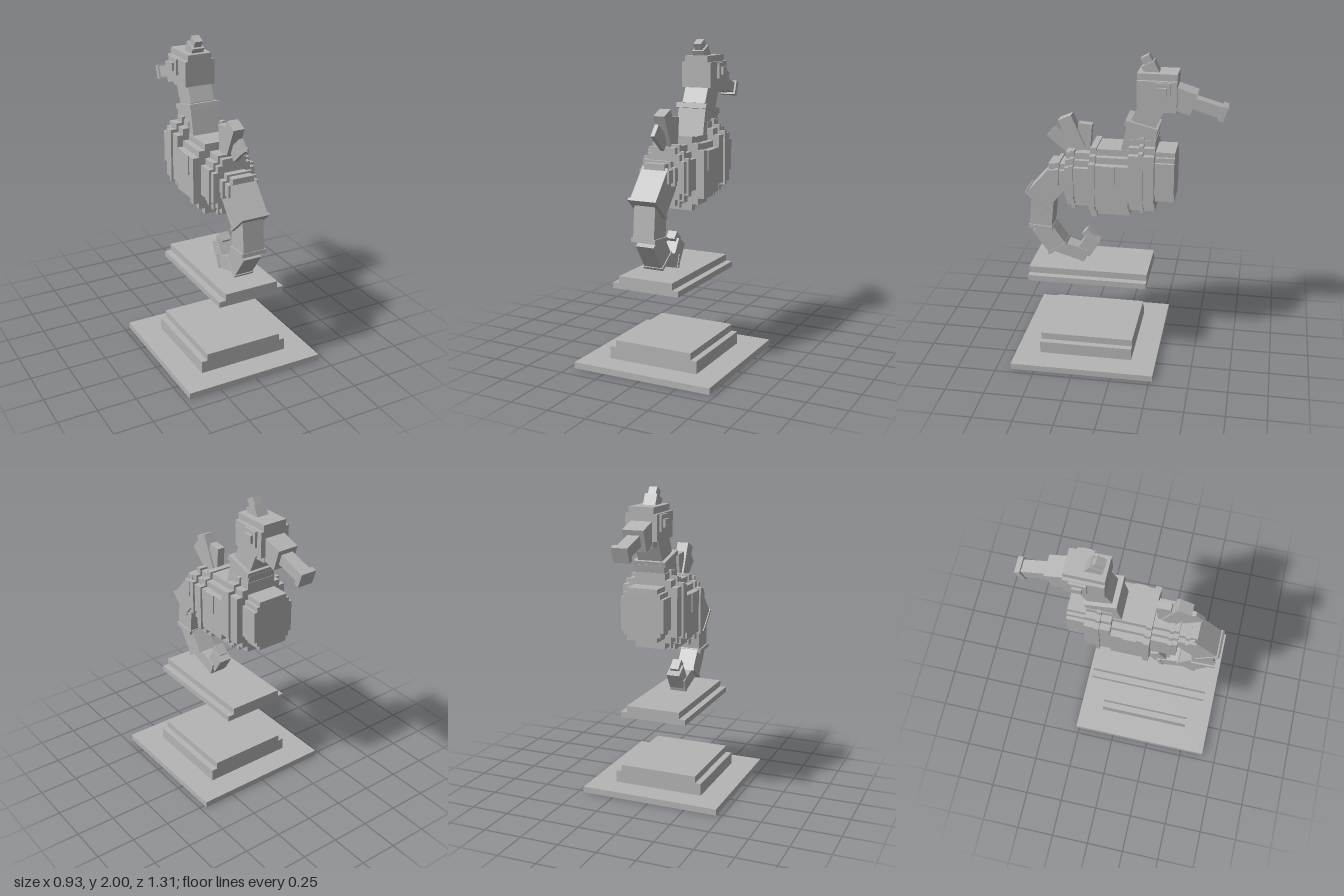
import * as THREE from 'three';

export function createModel() {
  const model = new THREE.Group();
  const grey = new THREE.MeshStandardMaterial({ color: 0xb4b4b4 });
  grey.name = 'stone grey';

  function add(name, geometry) {
    const mesh = new THREE.Mesh(geometry, grey);
    mesh.name = name;
    model.add(mesh);
    return mesh;
  }

  // Upright box given by half width and its y and z ranges
  function box(name, hw, y0, y1, z0, z1) {
    add(name, new THREE.BoxGeometry(2 * hw, y1 - y0, z1 - z0))
      .position.set(0, (y0 + y1) / 2, (z0 + z1) / 2);
  }

  // Tilted box running between two points [z, y] of the side profile
  function bar(name, [z0, y0], [z1, y1], thickness, hw) {
    const length = Math.hypot(z1 - z0, y1 - y0);
    const mesh = add(name, new THREE.BoxGeometry(2 * hw, length, thickness));
    mesh.position.set(0, (y0 + y1) / 2, (z0 + z1) / 2);
    mesh.rotation.x = Math.atan2(z1 - z0, y1 - y0);
  }

  // Block along z whose four long corners are cut into steps
  function stepped(name, hw, y0, y1, z0, z1, steps, dx, dy) {
    const corner = [];
    const cy = (y0 + y1) / 2, hh = (y1 - y0) / 2;
    for (let i = 0; i <= steps; i++) {
      const y = hh - (steps - i) * dy, x = hw - i * dx;
      corner.push([x, y]);
      if (i < steps) corner.push([x - dx, y]);
    }
    const flipped = [...corner].reverse();
    const points = [
      ...corner,
      ...flipped.map(([x, y]) => [-x, y]),
      ...corner.map(([x, y]) => [-x, -y]),
      ...flipped.map(([x, y]) => [x, -y]),
    ].map(([x, y]) => new THREE.Vector2(x, y + cy));
    const geometry = new THREE.ExtrudeGeometry(new THREE.Shape(points), { depth: z1 - z0, bevelEnabled: false });
    add(name, geometry).position.z = z0;
  }

  // Lower base and floating upper base
  box('baseSlab', 0.463, 0, 0.04, -0.27, 0.655);
  box('baseStep', 0.3, 0.04, 0.12, -0.11, 0.495);
  box('baseTop', 0.26, 0.12, 0.165, -0.11, 0.495);
  box('upperBaseSlab', 0.222, 0.53, 0.567, -0.19, 0.577);
  box('upperBaseTop', 0.18, 0.567, 0.61, -0.19, 0.577);

  // Body blocks from chest to tail root
  stepped('chest', 0.14, 1.09, 1.415, -0.345, -0.22, 2, 0.02, 0.03);
  stepped('frontBody', 0.18, 1.02, 1.49, -0.225, -0.065, 2, 0.04, 0.04);
  stepped('middleBody', 0.18, 0.98, 1.415, -0.065, 0.17, 2, 0.04, 0.04);
  stepped('rearBody', 0.14, 1.02, 1.375, 0.16, 0.34, 2, 0.03, 0.04);
  stepped('tailRoot', 0.1, 1.14, 1.29, 0.33, 0.455, 1, 0.03, 0.035);

  // Raised rings around the body
  stepped('frontRing', 0.193, 1.01, 1.505, -0.157, -0.13, 2, 0.04, 0.037);
  stepped('middleRing', 0.193, 0.965, 1.425, 0.14, 0.178, 2, 0.04, 0.04);
  stepped('rearRing', 0.153, 1.005, 1.39, 0.283, 0.308, 2, 0.03, 0.04);
  stepped('tailRootRing', 0.115, 1.12, 1.302, 0.385, 0.408, 1, 0.03, 0.035);

  // Side panels
  box('sidePanels', 0.187, 1.21, 1.335, 0.013, 0.098);

  // Neck, head and eyes
  bar('lowerNeck', [-0.1, 1.38], [-0.14, 1.56], 0.19, 0.095);
  bar('neckCollar', [-0.129, 1.553], [-0.137, 1.585], 0.205, 0.105);
  bar('upperNeck', [-0.14, 1.575], [-0.215, 1.74], 0.155, 0.08);
  box('head', 0.1, 1.7, 1.86, -0.347, -0.105);
  box('headTop', 0.08, 1.86, 1.9, -0.347, -0.105);
  box('jaw', 0.07, 1.66, 1.71, -0.342, -0.26);
  box('eyes', 0.115, 1.755, 1.855, -0.31, -0.205);
  box('pupils', 0.131, 1.778, 1.828, -0.288, -0.232);

  // Snout
  bar('snoutRoot', [-0.3, 1.76], [-0.446, 1.713], 0.138, 0.068);
  bar('snout', [-0.43, 1.719], [-0.607, 1.667], 0.07, 0.04);
  bar('snoutTip', [-0.605, 1.667], [-0.637, 1.656], 0.095, 0.052);

  // Crest on the head
  bar('crestBase', [-0.2, 1.87], [-0.162, 1.947], 0.085, 0.04);
  bar('crestTip', [-0.167, 1.944], [-0.142, 1.988], 0.06, 0.026);

  // Fins fanned along the back
  bar('frontFin', [0.241, 1.366], [0.225, 1.547], 0.088, 0.025);
  bar('middleFin', [0.262, 1.377], [0.353, 1.584], 0.09, 0.037);
  bar('rearFin', [0.326, 1.387], [0.446, 1.488], 0.085, 0.013);

  // Curled tail: [start, end, thickness, half width]
  const tail = [
    [[0.38, 1.213], [0.538, 1.034], 0.165, 0.087],
    [[0.5, 1.055], [0.52, 0.852], 0.145, 0.07],
    [[0.523, 0.848], [0.411, 0.687], 0.135, 0.06],
    [[0.416, 0.703], [0.241, 0.65], 0.085, 0.05],
    [[0.247, 0.666], [0.183, 0.767], 0.095, 0.045],
    [[0.183, 0.761], [0.239, 0.814], 0.055, 0.03],
  ];
  tail.forEach((s, i) => bar('tailSegment' + (i + 1), ...s));

  // Bands between the tail segments
  const bands = [
    [[0.531, 1.043], [0.544, 1.029], 0.185, 0.093],
    [[0.519, 0.858], [0.521, 0.832], 0.155, 0.08],
    [[0.421, 0.701], [0.411, 0.686], 0.145, 0.066],
    [[0.25, 0.653], [0.228, 0.646], 0.09, 0.055],
  ];
  bands.forEach((b, i) => bar('tailBand' + (i + 1), ...b));

  return model;
}
